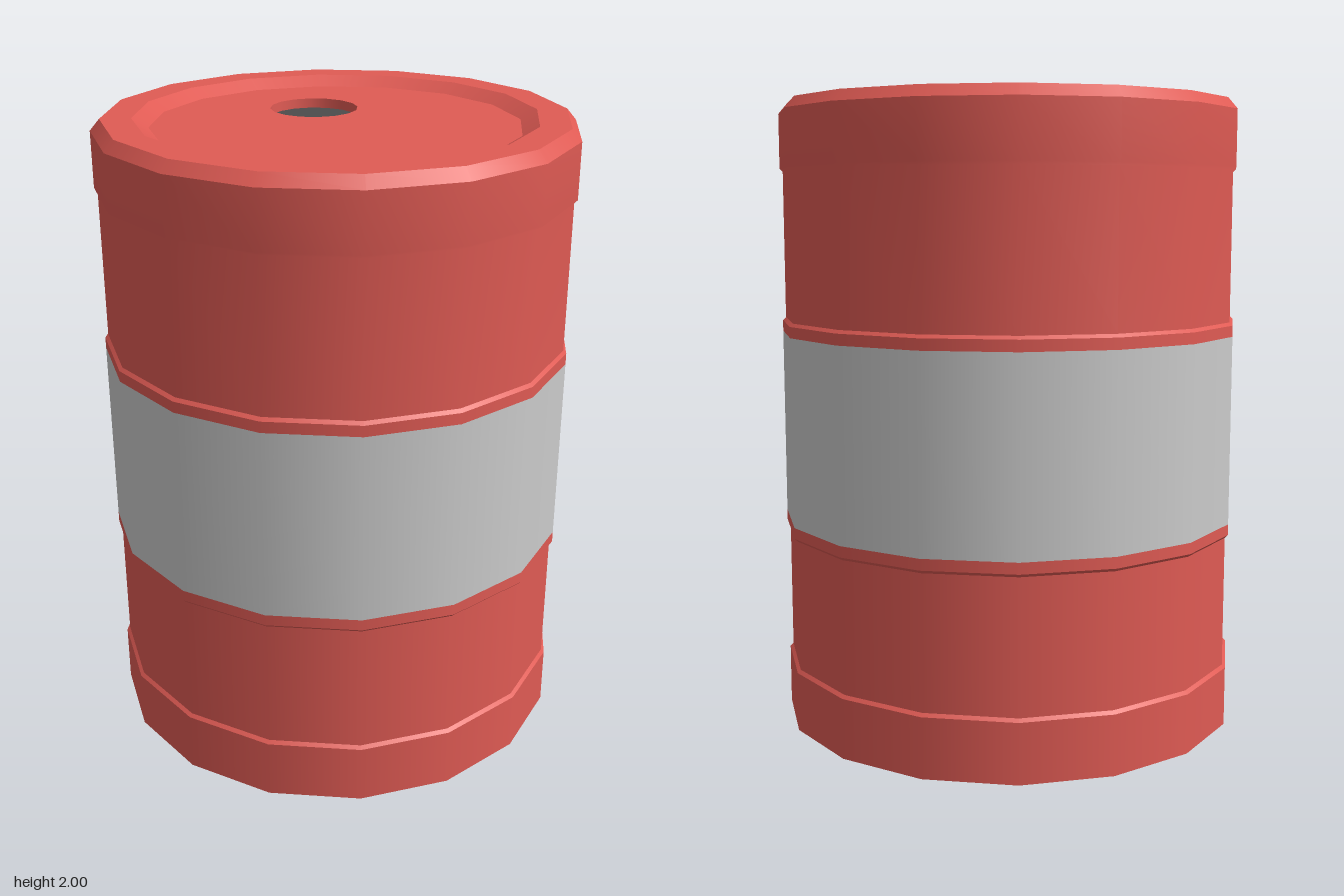
import * as THREE from 'three';

const SIDES = 16;
const R = 0.745;        // ribs
const RB = 0.735;       // recessed body
const LID_Y = 1.97;

export function createModel() {
  const barrel = new THREE.Group();
  barrel.name = 'barrel';
  const red = new THREE.MeshStandardMaterial({ color: 0xe05b54 });
  const grey = new THREE.MeshStandardMaterial({ color: 0xcccccc });
  const dark = new THREE.MeshStandardMaterial({ color: 0x4c4c4c });

  const add = (name, geometry, material) => {
    const mesh = new THREE.Mesh(geometry, material);
    mesh.name = name;
    barrel.add(mesh);
    return mesh;
  };
  // One smooth ring per profile; separate rings keep a sharp edge between them
  const ring = (name, profile, material = red) =>
    add(name, new THREE.LatheGeometry(profile.map(p => new THREE.Vector2(...p)), SIDES), material);

  // Base and lower body
  ring('bottom', [[0, 0], [R, 0]]);
  ring('baseRim', [[R, 0], [R, 0.19]]);
  ring('baseStep', [[R, 0.19], [RB, 0.2]]);
  ring('lowerBody', [[RB, 0.2], [RB, 0.62]]);

  // Raised middle with the pale stripe
  ring('lowerRibStep', [[RB, 0.62], [R, 0.63]]);
  ring('lowerRib', [[R, 0.63], [R, 0.665]]);
  ring('stripe', [[R, 0.665], [R, 1.265]], grey);
  ring('upperRib', [[R, 1.265], [R, 1.3]]);
  ring('upperRibStep', [[R, 1.3], [RB, 1.31]]);

  // Upper body blends softly into the top rim
  ring('upperBody', [[RB, 1.31], [RB, 1.78], [R, 1.79], [R, 1.965]]);
  ring('rimBevel', [[R, 1.965], [0.715, 2]]);
  ring('rimTop', [[0.715, 2], [0.62, 2]]);
  ring('lidSlope', [[0.62, 2], [0.57, LID_Y]]);

  // Sunken lid with a round filler hole
  const hole = { x: -0.2, z: -0.13, r: 0.14, depth: 0.03 };
  const circle = (x, y, r) => Array.from({ length: SIDES }, (_, i) => {
    const a = i / SIDES * Math.PI * 2;
    return new THREE.Vector2(x + r * Math.cos(a), y + r * Math.sin(a));
  });
  const lidShape = new THREE.Shape(circle(0, 0, 0.57));
  lidShape.holes.push(new THREE.Path(circle(hole.x, -hole.z, hole.r)));
  const lid = add('lid', new THREE.ShapeGeometry(lidShape).rotateX(-Math.PI / 2), red);
  lid.position.y = LID_Y;

  const wall = ring('holeWall', [[hole.r, 0], [hole.r, -hole.depth]]);
  wall.position.set(hole.x, LID_Y, hole.z);
  const plug = add('holePlug', new THREE.CircleGeometry(hole.r, SIDES).rotateX(-Math.PI / 2), dark);
  plug.position.set(hole.x, LID_Y - hole.depth, hole.z);

  return barrel;
}
